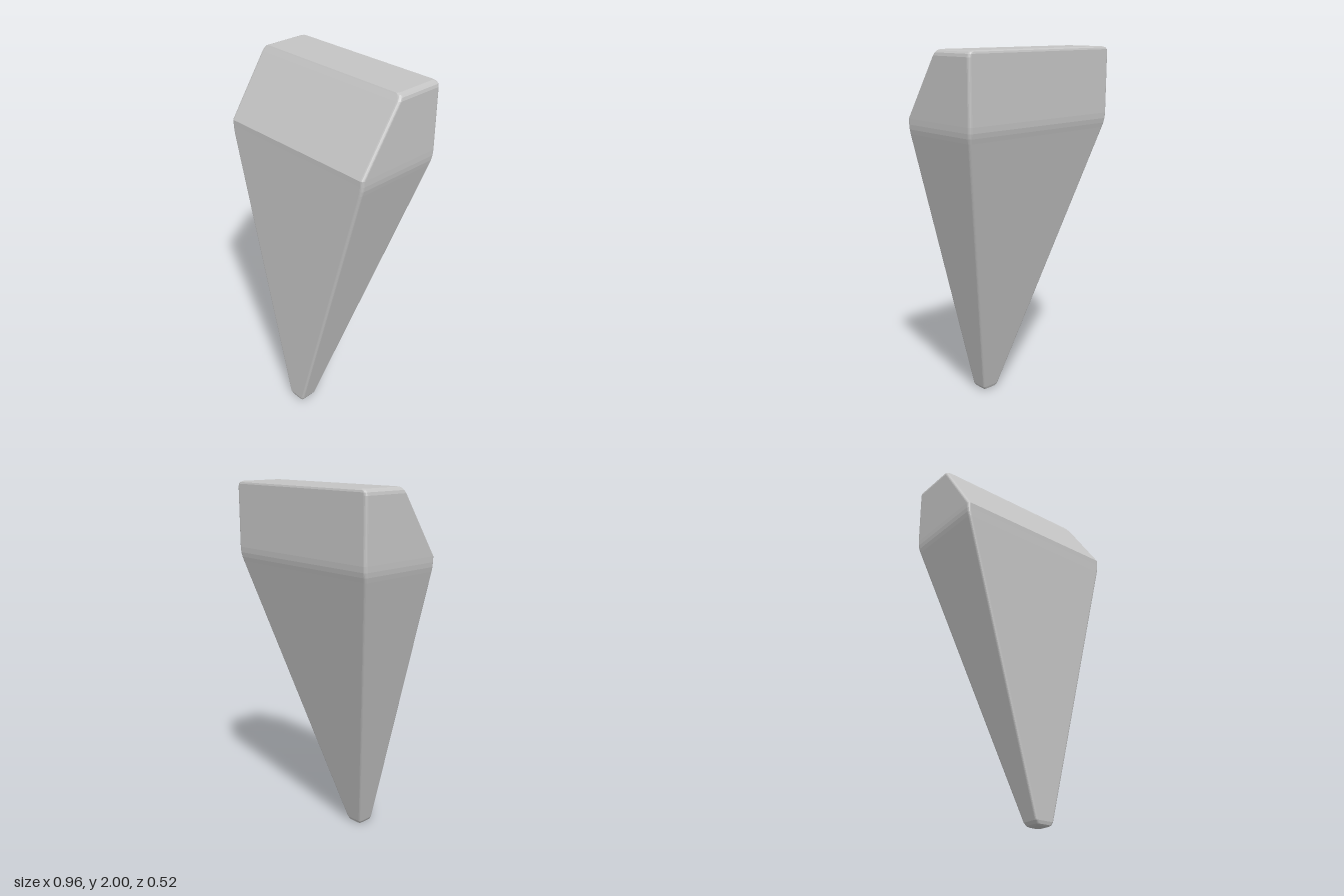
import * as THREE from 'three';

// Sections from tip to crown: height, half width, front z, back z, edge radius
const sections = [
  [0, 0.032, 0.25, 0.175, 0.012],
  [0.006, 0.045, 0.256, 0.166, 0.012],
  [0.022, 0.055, 0.26, 0.159, 0.012],
  [1.57, 0.47, 0.241, -0.246, 0.014],
  [1.595, 0.476, 0.2405, -0.253, 0.015],
  [1.62, 0.479, 0.24, -0.258, 0.016],
  [1.65, 0.48, 0.24, -0.26, 0.016],
  [1.97, 0.48, 0.021, -0.26, 0.016],
  [1.985, 0.476, 0.0105, -0.26, 0.016],
  [1.994, 0.467, 0.004, -0.257, 0.014],
  [2, 0.45, 0, -0.25, 0.012],
];
const STEPS = 4;

// Rectangle with rounded corners: the +x half first, then its mirror
function ring([y, w, front, back, r]) {
  const half = [];
  for (let i = 0; i <= STEPS; i++) {
    const a = (i / STEPS) * Math.PI / 2;
    half.push([w - r + r * Math.sin(a), y, front - r + r * Math.cos(a)]);
  }
  for (let i = 0; i <= STEPS; i++) {
    const a = (i / STEPS) * Math.PI / 2;
    half.push([w - r + r * Math.cos(a), y, back + r - r * Math.sin(a)]);
  }
  return [...half, ...half.map(([x, h, z]) => [-x, h, z]).reverse()];
}

function loft(list) {
  const rings = list.map(ring);
  const n = rings[0].length;
  const last = rings.length - 1;
  const index = [];
  for (let j = 0; j < n; j++) {
    const k = (j + 1) % n;
    for (let i = 0; i < last; i++) {
      const a = i * n + j, b = i * n + k;
      index.push(a, b, b + n, a, b + n, a + n);
    }
    // End caps
    if (j > 0 && k > 0) {
      index.push(0, k, j);
      index.push(last * n, last * n + j, last * n + k);
    }
  }
  const geo = new THREE.BufferGeometry();
  geo.setAttribute('position', new THREE.Float32BufferAttribute(rings.flat(2), 3));
  geo.setIndex(index);
  const flat = geo.toNonIndexed();
  flat.computeVertexNormals();
  return flat;
}

export function createModel() {
  const group = new THREE.Group();
  group.name = 'taperedSpike';
  const grey = new THREE.MeshStandardMaterial({ color: 0xc4c4c4 });
  grey.name = 'light grey';
  const body = new THREE.Mesh(loft(sections), grey);
  body.name = 'spikeBody';
  group.add(body);
  return group;
}
